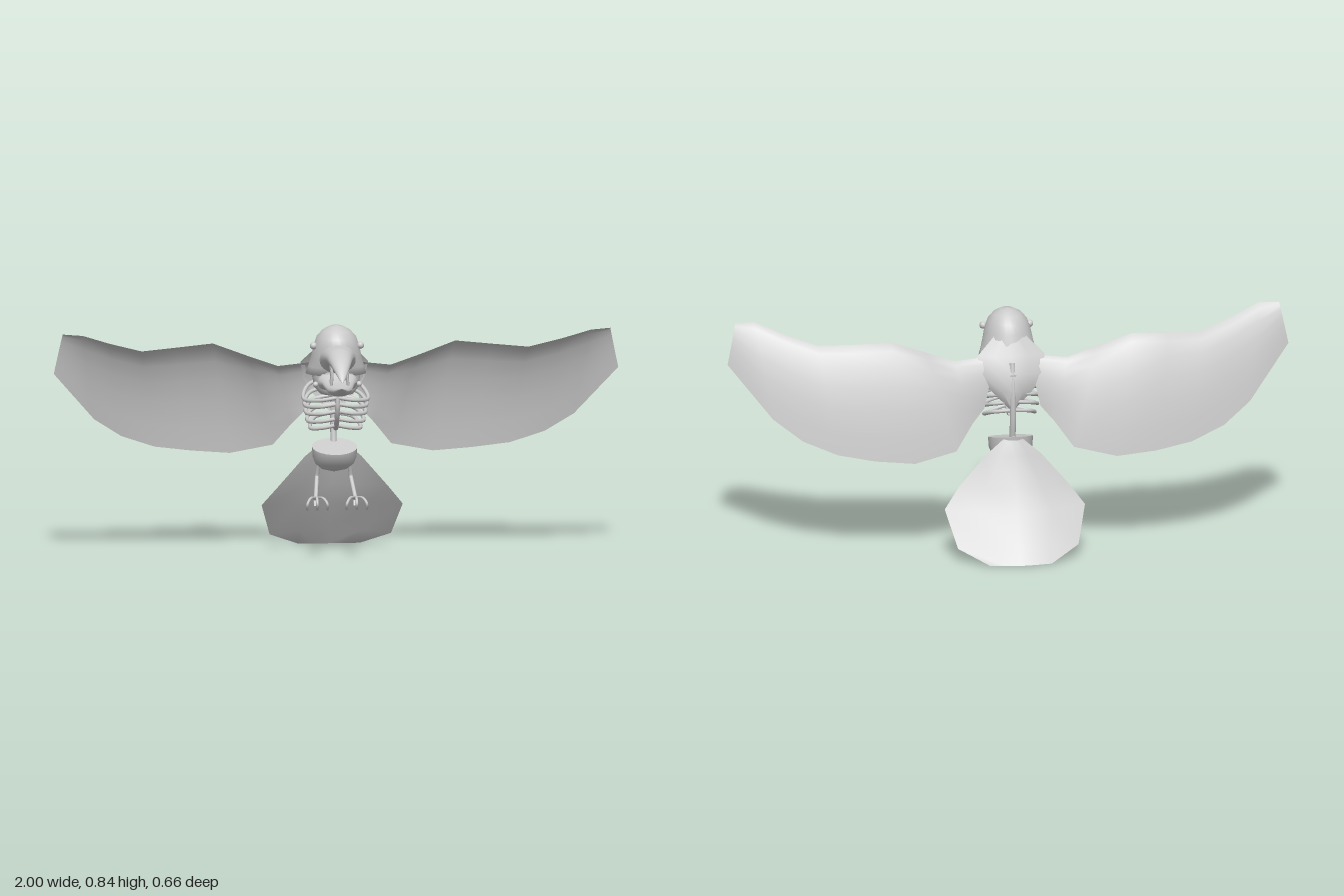
import * as THREE from 'three';

const material = new THREE.MeshStandardMaterial({ color: 0xcccccc, side: THREE.DoubleSide });

function mesh(name, geometry) {
  const m = new THREE.Mesh(geometry, material);
  m.name = name;
  return m;
}

// Skin over rows of points; every row has the same number of [x, y, z] points.
function skin(name, rows) {
  const n = rows[0].length, index = [];
  for (let r = 0; r < rows.length - 1; r++) {
    for (let i = 0; i < n - 1; i++) {
      const a = r * n + i, b = a + 1, c = a + n, d = c + 1;
      index.push(a, c, b, b, c, d);
    }
  }
  const g = new THREE.BufferGeometry();
  g.setAttribute('position', new THREE.Float32BufferAttribute(rows.flat(2), 3));
  g.setIndex(index);
  g.computeVertexNormals();
  return mesh(name, g);
}

// Closed ring of points from a rule of (cos, sin).
const ring = (rule, n = 28) => Array.from({ length: n + 1 }, (_, i) => {
  const a = (i % n) / n * Math.PI * 2;
  return rule(Math.cos(a), Math.sin(a));
});

// Stacked horizontal ellipses: [y, z, rx, rz, forward drop]
const stack = (name, rings) => skin(name, rings.map(([y, z, rx, rz, drop = 0]) =>
  ring((c, s) => [rx * c, y - drop * s, z + rz * s])));

// Ellipses along z: [z, top, bottom, half width]
const beak = (name, rings) => skin(name, rings.map(([z, top, bottom, w]) =>
  ring((c, s) => [w * c, (top + bottom) / 2 + (top - bottom) / 2 * s, z])));

function tube(name, points, radius, tension = 0.5, segments = 20) {
  const curve = new THREE.CatmullRomCurve3(
    points.map(p => new THREE.Vector3(...p)), false, 'catmullrom', tension);
  return mesh(name, new THREE.TubeGeometry(curve, segments, radius, 8));
}

function ball(name, x, y, z, r) {
  const m = mesh(name, new THREE.SphereGeometry(r, 14, 10));
  m.position.set(x, y, z);
  return m;
}

// Cupped wing lofted between its leading and trailing edges.
function wing() {
  const stations = [ // leading x, y, z, trailing x, y, z, depth of cup
    [0.06, 0.70, -0.06, 0.10, 0.52, -0.10, 0.03],
    [0.20, 0.685, -0.06, 0.145, 0.47, -0.12, 0.06],
    [0.30, 0.72, -0.06, 0.21, 0.385, -0.17, 0.08],
    [0.43, 0.767, -0.07, 0.36, 0.353, -0.195, 0.09],
    [0.56, 0.757, -0.05, 0.50, 0.365, -0.187, 0.09],
    [0.685, 0.75, -0.02, 0.63, 0.385, -0.16, 0.09],
    [0.80, 0.785, 0.02, 0.75, 0.43, -0.125, 0.08],
    [0.90, 0.822, 0.062, 0.85, 0.50, -0.075, 0.06],
    [0.97, 0.825, 0.045, 1.00, 0.68, 0.02, 0.015],
  ];
  const steps = [0, 0.06, 0.18, 0.35, 0.55, 0.78, 1];
  return skin('wing', stations.map(([x0, y0, z0, x1, y1, z1, cup]) => steps.map(t => [
    x0 + (x1 - x0) * t,
    y0 + (y1 - y0) * t,
    z0 + (z1 - z0) * t - cup * Math.sqrt(t) * (1 - t),
  ])));
}

// Leg with three front toes and one back toe, each ending in a hooked claw.
function leg() {
  const g = new THREE.Group();
  g.name = 'leg';
  g.add(tube('shank', [[0.055, 0.33, -0.07], [0.06, 0.285, -0.083], [0.07, 0.222, -0.005]], 0.0075, 0.1));
  for (const dx of [-0.035, 0, 0.035]) {
    g.add(tube('frontToe', [[0.07, 0.22, -0.005], [0.07 + dx * 0.6, 0.228, 0.05],
      [0.07 + dx, 0.212, 0.077], [0.07 + dx, 0.186, 0.062]], 0.005));
  }
  g.add(tube('backToe', [[0.07, 0.22, 0], [0.07, 0.218, -0.03],
    [0.07, 0.206, -0.046], [0.07, 0.188, -0.036]], 0.005));
  return g;
}

// Everything on one side: wing, leg, ribs, eye and mouth strands.
function side() {
  const g = new THREE.Group();
  g.add(wing(), leg());
  g.add(ball('eye', 0.083, 0.777, 0.063, 0.013), ball('cheekStud', 0.077, 0.641, 0.08, 0.01));
  const ribs = [ // sternum y, z, half width, spine y
    [0.595, 0.097, 0.115, 0.64],
    [0.572, 0.094, 0.11, 0.605],
    [0.545, 0.086, 0.106, 0.573],
    [0.515, 0.068, 0.10, 0.541],
    [0.487, 0.04, 0.09, 0.51],
  ];
  for (const [y, z, w, spine] of ribs) {
    g.add(tube('rib', [[0, y, z], [w * 0.6, y - 0.012, z - 0.015], [w, y - 0.015, z * 0.4 - 0.025],
      [w * 0.75, (y + spine) / 2, -0.08], [0, spine, -0.105]], 0.007));
  }
  for (const z of [0.163, 0.195]) {
    g.add(tube('mouthStrand', [[0.03, 0.655, z], [0.027, 0.69, z + 0.003], [0.03, 0.725, z]], 0.005));
  }
  return g;
}

export function createModel() {
  const model = new THREE.Group();
  model.name = 'bird';

  const left = side(), right = side();
  left.name = 'leftSide';
  right.name = 'rightSide';
  right.scale.x = -1;
  model.add(left, right);

  // Head: domed hood flaring over a rounded throat
  model.add(stack('hood', [
    [0.846, 0.037, 0, 0], [0.842, 0.037, 0.025, 0.032], [0.828, 0.037, 0.05, 0.062],
    [0.805, 0.037, 0.07, 0.083], [0.77, 0.036, 0.082, 0.095], [0.73, 0.028, 0.09, 0.098],
    [0.70, 0.02, 0.098, 0.098], [0.672, 0.012, 0.108, 0.092], [0.67, 0.012, 0.08, 0.08],
  ]));
  model.add(stack('throat', [
    [0.70, 0.02, 0.085, 0.09], [0.66, 0.025, 0.085, 0.095], [0.625, 0.035, 0.078, 0.088],
    [0.605, 0.045, 0.06, 0.066], [0.593, 0.05, 0, 0],
  ]));

  // Open beak
  model.add(beak('upperBeak', [
    [0.09, 0.79, 0.67, 0.065], [0.13, 0.787, 0.70, 0.06], [0.16, 0.785, 0.713, 0.052],
    [0.20, 0.784, 0.717, 0.045], [0.25, 0.762, 0.712, 0.034], [0.29, 0.73, 0.701, 0.021],
    [0.315, 0.703, 0.691, 0.01], [0.33, 0.685, 0.684, 0],
  ]));
  model.add(beak('lowerBeak', [
    [0.09, 0.695, 0.605, 0.07], [0.13, 0.673, 0.63, 0.058], [0.16, 0.665, 0.621, 0.05],
    [0.20, 0.66, 0.617, 0.042], [0.25, 0.658, 0.63, 0.026], [0.28, 0.66, 0.648, 0.012],
    [0.296, 0.661, 0.66, 0],
  ]));

  // Breastbone and backbone
  model.add(tube('sternum', [[0, 0.61, 0.095], [0, 0.555, 0.092], [0, 0.505, 0.06],
    [0, 0.472, 0.01], [0, 0.478, -0.045]], 0.009));
  model.add(tube('spine', [[0, 0.68, -0.09], [0, 0.58, -0.11], [0, 0.48, -0.11], [0, 0.39, -0.095]], 0.011));

  // Feathered back between the wings, narrowing to a point
  model.add(skin('back', [[0.77, 0.05, -0.055], [0.70, 0.12, -0.085], [0.64, 0.11, -0.11],
    [0.58, 0.075, -0.12], [0.51, 0.01, -0.115]].map(([y, w, z]) =>
    [-1, -0.5, 0, 0.5, 1].map(u => [u * w, y, z + 0.025 * u * u]))));

  // Pelvis bowl with a flat, tilted top
  model.add(stack('pelvis', [
    [0.397, -0.045, 0, 0], [0.397, -0.045, 0.08, 0.077, 0.018], [0.397, -0.045, 0.08, 0.077, 0.018],
    [0.362, -0.046, 0.078, 0.07, 0.008], [0.335, -0.052, 0.068, 0.055], [0.315, -0.063, 0.045, 0.036],
    [0.303, -0.07, 0, 0],
  ]));

  // Tail fan: [edge y, edge z, half width, middle y, middle z]
  model.add(skin('tail', [
    [0.41, -0.113, 0.03, 0.415, -0.115], [0.35, -0.118, 0.1, 0.35, -0.145],
    [0.24, -0.125, 0.195, 0.24, -0.19], [0.17, -0.16, 0.25, 0.16, -0.232],
    [0.05, -0.25, 0.215, 0.06, -0.295], [0.004, -0.322, 0.11, 0.002, -0.33],
  ].map(([y, z, w, my, mz]) => [-1, -0.5, 0, 0.5, 1].map(u => {
    const k = Math.abs(u) ** 1.5;
    return [u * w, my + (y - my) * k, mz + (z - mz) * k];
  }))));

  return model;
}
